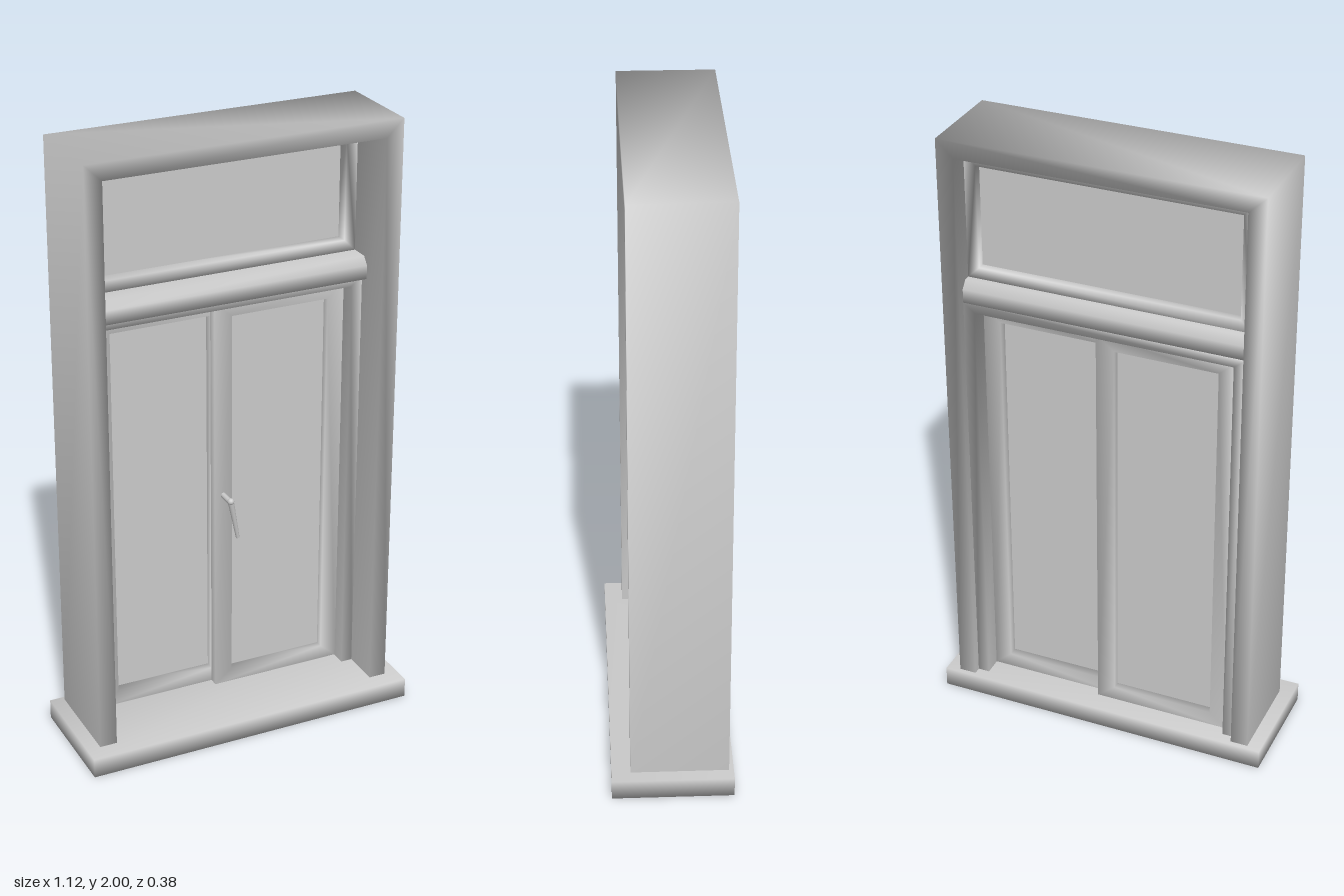
import * as THREE from 'three';
import { mergeVertices } from 'three/addons/utils/BufferGeometryUtils.js';

const grey = new THREE.MeshStandardMaterial({ color: 0xcccccc });
const paneGrey = new THREE.MeshStandardMaterial({ color: 0xcccccc, side: THREE.DoubleSide });

// Shares corner vertices so that normals blend softly over the edges
function soften(geometry) {
  geometry.deleteAttribute('normal');
  geometry.deleteAttribute('uv');
  const g = mergeVertices(geometry, 1e-4);
  g.computeVertexNormals();
  return g;
}

function part(name, geometry, material = grey) {
  const mesh = new THREE.Mesh(geometry, material);
  mesh.name = name;
  return mesh;
}

const corners = (x0, x1, y0, y1) => [[x0, y0], [x1, y0], [x1, y1], [x0, y1]].map(([x, y]) => new THREE.Vector2(x, y));

function extrude(shape, z0, z1) {
  const g = new THREE.ExtrudeGeometry(shape, { depth: z1 - z0, bevelEnabled: false });
  return soften(g.translate(0, 0, z0));
}

// Three-sided surround, open at the bottom
function surround(x0, x1, y0, y1, side, top, z0, z1) {
  const points = [
    [x0, y0], [x0 + side, y0], [x0 + side, y1 - top], [x1 - side, y1 - top],
    [x1 - side, y0], [x1, y0], [x1, y1], [x0, y1],
  ].map(([x, y]) => new THREE.Vector2(x, y));
  return extrude(new THREE.Shape(points), z0, z1);
}

// Closed frame with a pane: outer and inner are [x0, x1, y0, y1]
function glazedFrame(name, outer, inner, z0, z1, paneZ) {
  const group = new THREE.Group();
  group.name = name;
  const shape = new THREE.Shape(corners(...outer));
  shape.holes.push(new THREE.Path(corners(...inner)));
  const [x0, x1, y0, y1] = inner;
  const pane = new THREE.PlaneGeometry(x1 - x0, y1 - y0);
  pane.translate((x0 + x1) / 2, (y0 + y1) / 2, paneZ);
  group.add(part(name + 'Frame', extrude(shape, z0, z1)), part(name + 'Pane', pane, paneGrey));
  return group;
}

// Round rod between two points
function rod(name, from, to, r0, r1) {
  const a = new THREE.Vector3(...from), b = new THREE.Vector3(...to);
  const dir = b.clone().sub(a);
  const mesh = part(name, new THREE.CylinderGeometry(r1, r0, dir.length(), 14));
  mesh.position.copy(a).add(b).multiplyScalar(0.5);
  mesh.quaternion.setFromUnitVectors(new THREE.Vector3(0, 1, 0), dir.normalize());
  return mesh;
}

export function createModel() {
  const model = new THREE.Group();
  model.name = 'window';

  // Sill and deep wall surround
  const sill = soften(new THREE.BoxGeometry(1.12, 0.065, 0.385));
  model.add(part('sill', sill.translate(0, 0.0325, -0.0025)));
  model.add(part('surround', surround(-0.515, 0.515, 0.065, 2, 0.057, 0.055, -0.18, 0.13)));

  // Fixed lining around the two casements
  model.add(part('lining', surround(-0.458, 0.458, 0.065, 1.46, 0.038, 0.03, -0.155, 0)));

  // Transom bar with sloped upper edges, extruded along x
  const profile = [
    [-0.155, 1.46], [0.03, 1.46], [0.03, 1.505], [0.01, 1.53], [-0.135, 1.53], [-0.155, 1.505],
  ].map(([z, y]) => new THREE.Vector2(-z, y));
  const bar = new THREE.ExtrudeGeometry(new THREE.Shape(profile), { depth: 0.916, bevelEnabled: false });
  bar.rotateY(Math.PI / 2).translate(-0.458, 0, 0);
  model.add(part('transom', soften(bar)));

  // Fanlight above, two overlapping casements below
  model.add(glazedFrame('fanlight', [-0.458, 0.458, 1.53, 1.945], [-0.423, 0.42, 1.567, 1.902], -0.115, -0.05, -0.09));
  model.add(glazedFrame('rightCasement', [-0.42, 0.03, 0.07, 1.43], [-0.365, -0.03, 0.118, 1.383], -0.13, -0.075, -0.105));
  model.add(glazedFrame('leftCasement', [-0.03, 0.418, 0.07, 1.43], [0.03, 0.362, 0.118, 1.383], -0.1, -0.045, -0.07));

  // Lever handle on the left casement's meeting stile
  const handle = new THREE.Group();
  handle.name = 'handle';
  handle.add(rod('handleSpindle', [0, 0.77, -0.05], [0, 0.77, 0.015], 0.009, 0.009));
  handle.add(rod('handleLever', [0, 0.775, 0.01], [0.032, 0.63, -0.005], 0.01, 0.006));
  const knuckle = part('handleKnuckle', new THREE.SphereGeometry(0.011, 14, 10));
  knuckle.position.set(0, 0.773, 0.011);
  handle.add(knuckle);
  model.add(handle);

  return model;
}
